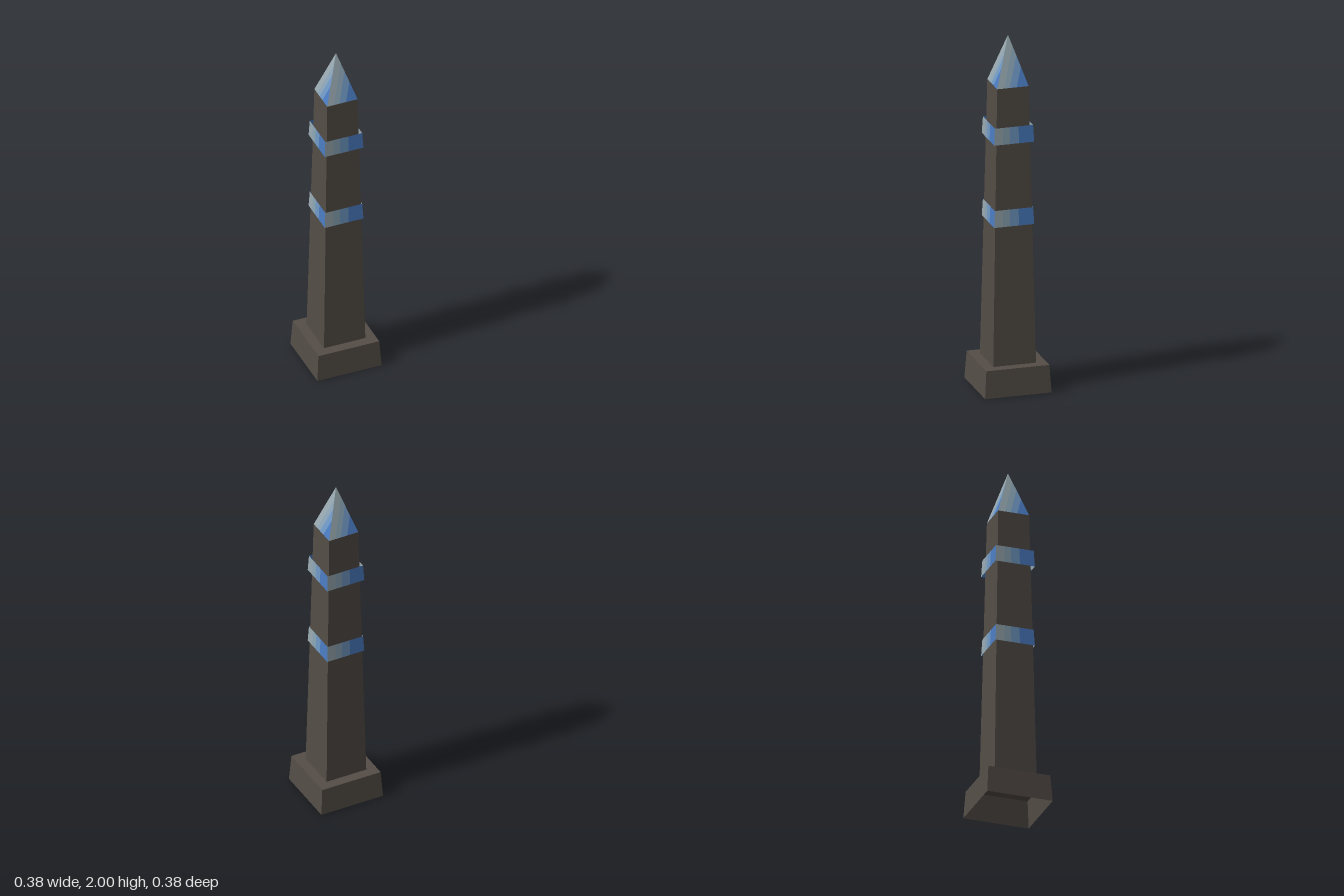
import * as THREE from 'three';

const paint = (name, color) => {
  const m = new THREE.MeshStandardMaterial({ color, side: THREE.DoubleSide });
  m.name = name;
  return m;
};

// Builds a mesh from flat convex front-facing polygons, repeated on all four sides
function fourSided(name, polygons, material) {
  const positions = [];
  const up = new THREE.Vector3(0, 1, 0);
  for (let side = 0; side < 4; side++) {
    for (const poly of polygons) {
      const p = poly.map(v => v.clone().applyAxisAngle(up, side * Math.PI / 2));
      for (let i = 1; i < p.length - 1; i++) {
        for (const v of [p[0], p[i], p[i + 1]]) positions.push(v.x, v.y, v.z);
      }
    }
  }
  const geometry = new THREE.BufferGeometry();
  geometry.setAttribute('position', new THREE.Float32BufferAttribute(positions, 3));
  geometry.computeVertexNormals();
  const mesh = new THREE.Mesh(geometry, material);
  mesh.name = name;
  return mesh;
}

// Front face corners of a square tapered block: bottom left, bottom right, top right, top left
const corners = (y0, h0, y1, h1) => [
  new THREE.Vector3(-h0, y0, h0), new THREE.Vector3(h0, y0, h0),
  new THREE.Vector3(h1, y1, h1), new THREE.Vector3(-h1, y1, h1),
];
const mix = (a, b, t) => a.clone().lerp(b, t);

export function createModel() {
  const model = new THREE.Group();
  model.name = 'obelisk';
  const stone = paint('dark stone', 0x544d47);

  // Blue stripes run left to right over every face of the bands and the tip
  const stripes = [
    { from: 0, to: 0.22, material: paint('pale grey', 0x98a9b0) },
    { from: 0.22, to: 0.4, material: paint('grey blue', 0x8aa4b6) },
    { from: 0.4, to: 0.62, material: paint('soft blue', 0x6f98c4) },
    { from: 0.62, to: 1, material: paint('strong blue', 0x4a7cc2) },
  ];

  // Plinth, hollow underneath, with a closed top
  const topY = 0.155;
  const plinthTop = corners(topY, 0.178, topY, 0.178);
  model.add(fourSided('plinth', [
    corners(0, 0.188, topY, 0.178),
    [plinthTop[0], plinthTop[1], new THREE.Vector3(0, topY, 0)],
  ], stone));

  // Tapered shaft
  model.add(fourSided('shaft', [corners(topY, 0.121, 1.727, 0.089)], stone));

  // Open bands standing slightly off the shaft
  [['lowerBand', 0.945], ['upperBand', 1.415]].forEach(([name, y]) => {
    const band = new THREE.Group();
    band.name = name;
    const [bl, br, tr, tl] = corners(y, 0.113, y + 0.095, 0.108);
    for (const { from, to, material } of stripes) {
      band.add(fourSided(name + 'Stripe', [
        [mix(bl, br, from), mix(bl, br, to), mix(tl, tr, to), mix(tl, tr, from)],
      ], material));
    }
    model.add(band);
  });

  // Pyramid tip, its stripes parallel to the left edge of each face
  const tip = new THREE.Group();
  tip.name = 'tip';
  const [left, right] = corners(1.727, 0.089, 2, 0);
  const apex = new THREE.Vector3(0, 2, 0);
  for (const { from, to, material } of stripes) {
    const poly = [mix(left, right, from), mix(left, right, to)];
    if (to < 1) poly.push(mix(apex, right, to));
    poly.push(mix(apex, right, from));
    tip.add(fourSided('tipStripe', [poly], material));
  }
  model.add(tip);

  return model;
}
